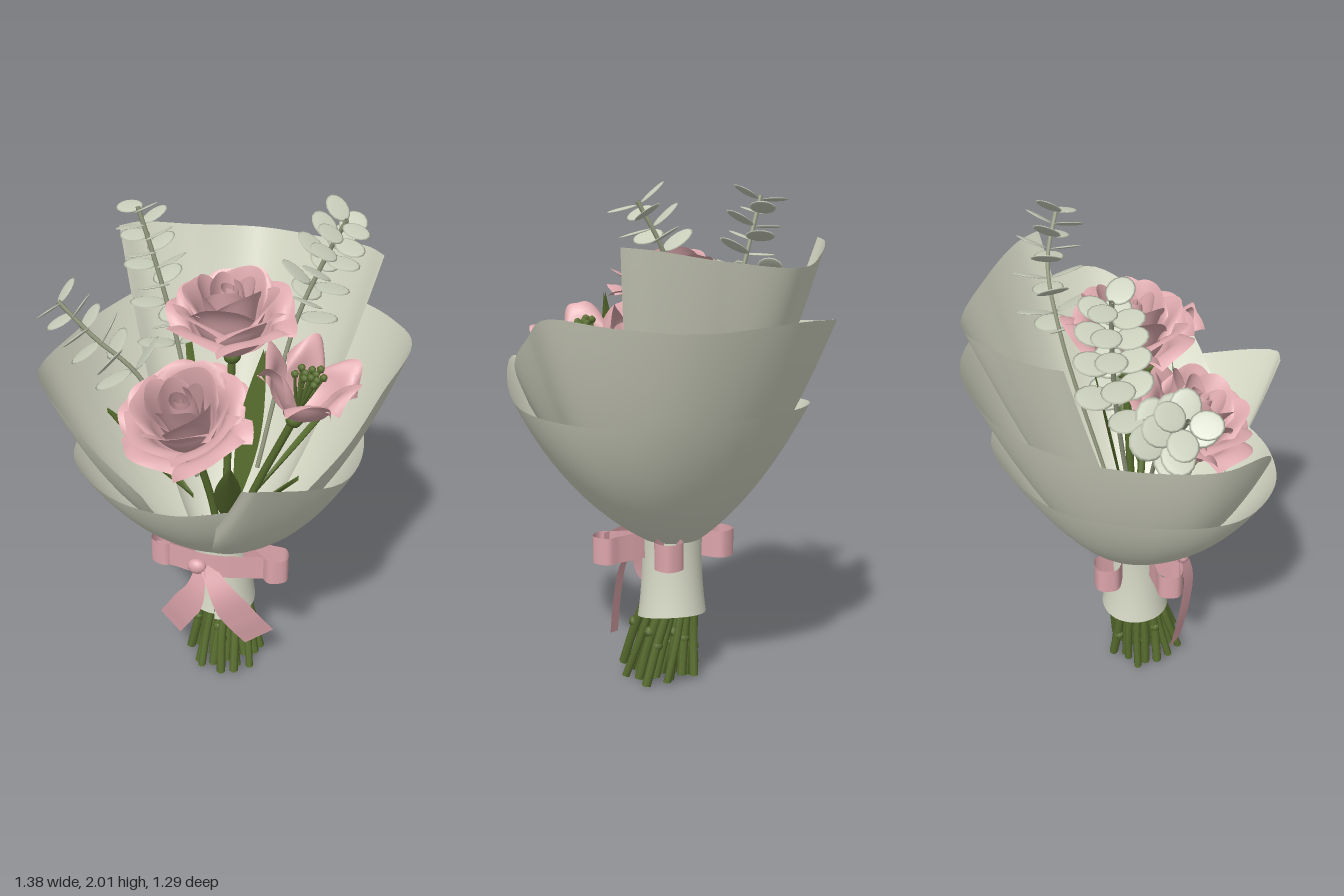
import * as THREE from 'three';
import { ParametricGeometry } from 'three/addons/geometries/ParametricGeometry.js';

const mat = (name, color) => {
  const m = new THREE.MeshStandardMaterial({ color, side: THREE.DoubleSide });
  m.name = name;
  return m;
};
const V = (x, y, z) => new THREE.Vector3(x, y, z);
const UP = V(0, 1, 0);
const RAD = Math.PI / 180;

export function createModel() {
  const paper = mat('paper', 0xd8dac7), ribbon = mat('ribbon pink', 0xdca5ab);
  const petalPink = mat('petal pink', 0xdfabaf), green = mat('stem green', 0x586d2f);
  const silver = mat('silver leaf', 0xcacfbc), twig = mat('twig', 0x969c82);
  const root = new THREE.Group();
  root.name = 'bouquet';

  const add = (geo, m, name, parent = root) => {
    const mesh = new THREE.Mesh(geo, m);
    mesh.name = name;
    parent.add(mesh);
    return mesh;
  };
  const group = (name, parent = root) => {
    const g = new THREE.Group();
    g.name = name;
    parent.add(g);
    return g;
  };
  const surface = (fn, nu, nv) => new ParametricGeometry(fn, nu, nv);
  const tube = (pts, r, m, name, parent, seg = 12) =>
    add(new THREE.TubeGeometry(new THREE.CatmullRomCurve3(pts), seg, r, 7), m, name, parent);

  // Wrapping sheet: each key is [rim x, rim y, rim z, azimuth at the neck]
  const sheet = (name, keys, k, ctrlY, baseR) => {
    const rim = new THREE.CatmullRomCurve3(keys.map(q => V(q[0], q[1], q[2])));
    const fn = (u, v, target) => {
      const p = rim.getPoint(u), f = u * (keys.length - 1);
      const i = Math.min(Math.floor(f), keys.length - 2);
      const az = THREE.MathUtils.lerp(keys[i][3], keys[i + 1][3], f - i) * RAD;
      const sx = Math.sin(az), sz = Math.cos(az), kk = k * (1 + 0.35 * Math.min(0, p.z));
      const a = (1 - v) ** 2, b = 2 * v * (1 - v), c = v * v;
      target.set(
        a * sx * baseR + b * (p.x * kk + sx * 0.11) + c * p.x,
        a * 0.61 + b * ctrlY + c * p.y,
        a * sz * baseR + b * (p.z * kk + sz * 0.11) + c * p.z);
    };
    add(surface(fn, 72, 20), paper, name);
  };
  sheet('outerWrap', [
    [0.23, 1.3, 0.64, -70], [0.29, 1.31, 0.64, -40], [0.53, 1.18, 0.33, 45], [0.56, 1.15, 0, 90],
    [0.42, 1.16, -0.36, 130], [0, 1.19, -0.56, 180], [-0.4, 1.16, -0.37, 228],
    [-0.53, 1.12, 0, 270], [-0.51, 1.1, 0.3, 300], [-0.3, 1.08, 0.49, 330],
    [-0.05, 1.07, 0.53, 355], [0.15, 1.08, 0.47, 370], [0.3, 1.08, 0.4, 390]], 0.52, 0.78, 0.125);
  sheet('middleWrap', [
    [0.4, 1.15, 0.4, 30], [0.54, 1.33, 0.31, 50], [0.63, 1.46, 0.12, 75], [0.7, 1.55, -0.07, 95],
    [0.6, 1.53, -0.31, 115], [0.39, 1.51, -0.52, 140], [0, 1.53, -0.65, 180],
    [-0.36, 1.5, -0.53, 215], [-0.55, 1.46, -0.27, 245], [-0.63, 1.44, 0, 270],
    [-0.65, 1.44, 0.2, 285], [-0.6, 1.45, 0.35, 300], [-0.4, 1.25, 0.42, 315],
    [-0.2, 1.05, 0.42, 330]], 0.5, 0.82, 0.12);
  sheet('innerWrap', [
    [0.55, 1.8, -0.29, 72], [0.48, 1.79, -0.38, 105], [0.28, 1.75, -0.52, 150], [0, 1.72, -0.63, 180],
    [-0.26, 1.75, -0.52, 210], [-0.44, 1.79, -0.4, 255], [-0.5, 1.8, -0.32, 288]], 0.45, 0.9, 0.11);

  // Paper cuff round the stems, with a slanted lower edge in front
  add(surface((u, v, t) => {
    const a = u * Math.PI * 2, r = 0.14 - 0.05 * v + 0.035 * v * v;
    const low = 0.29 - 0.03 * Math.max(0, Math.sin(a * 0.5 + 1.2)) * Math.cos(a);
    t.set(Math.sin(a) * r, THREE.MathUtils.lerp(low, 0.63, v), Math.cos(a) * r);
  }, 40, 8), paper, 'paperCuff');

  // Cut stem ends fanning out below the cuff
  const stems = group('stemEnds');
  const N = 30;
  for (let i = 0; i < N; i++) {
    const a = i * 2.4, r = 0.165 * Math.sqrt((i + 0.5) / N), b = a + 0.35;
    const bottom = V(0.02 + Math.sin(a) * r, 0.012 + 0.012 * (i % 3), 0.045 + Math.cos(a) * r);
    const top = V(Math.sin(b) * r * 0.6, 0.36, Math.cos(b) * r * 0.6);
    const mid = bottom.clone().lerp(top, 0.5).add(V(0.008 * Math.sin(i * 5), 0, 0.008 * Math.cos(i * 3)));
    tube([bottom, mid, top], 0.016 + 0.003 * (i % 2), green, 'stemEnd', stems, 6);
    add(new THREE.CircleGeometry(0.017, 7).rotateX(Math.PI / 2), green, 'stemCut', stems).position.copy(bottom);
    if (i % 2) {
      const bud = add(new THREE.SphereGeometry(0.023, 7, 5), green, 'stemNode', stems);
      bud.position.copy(mid).add(V(0, (i % 5) * 0.02 - 0.05, 0));
    }
  }

  // Ribbon bow: two long front loops, two short back loops, a band, two tails and a knot
  const bow = group('bow');
  for (const [x, z, reach] of [[0.85, 0.4, 0.335], [-0.85, 0.42, 0.3], [0.76, -0.65, 0.25], [-0.71, -0.71, 0.25]]) {
    const d = V(x, 0, z).normalize(), n = V(-d.z, 0, d.x);
    const loop = new THREE.CatmullRomCurve3(
      [[0.1, 0], [reach - 0.1, 0.04], [reach - 0.045, 0.056], [reach, 0], [reach - 0.045, -0.056], [reach - 0.1, -0.04]].map(
        ([r, w]) => d.clone().multiplyScalar(r).addScaledVector(n, w)), true);
    add(surface((u, v, t) => {
      loop.getPoint(u, t);
      t.y = 0.53 + 0.11 * v;
    }, 40, 2), ribbon, 'bowLoop', bow);
  }
  add(surface((u, v, t) => {
    const x = -0.24 + 0.48 * u;
    t.set(x, 0.53 + 0.11 * v, 0.165 + 0.02 * Math.cos(x * 12));
  }, 20, 2), ribbon, 'bowBand', bow);
  for (const s of [-1, 1]) {
    const path = new THREE.CatmullRomCurve3([
      V(-0.03 + s * 0.01, 0.58, 0.19), V(s * 0.06, 0.46, 0.22), V(s * 0.13, 0.33, 0.19), V(s * 0.195, 0.21, 0.14)]);
    add(surface((u, v, t) => {
      path.getPoint(v, t);
      const w = (u - 0.5) * (0.05 + 0.075 * Math.min(1, v * 2));
      t.add(V(w * 0.85, w * s * 0.3, -w * s * 0.55));
    }, 3, 16), ribbon, 'bowTail', bow);
  }
  const knot = add(new THREE.SphereGeometry(0.04, 14, 10), ribbon, 'bowKnot', bow);
  knot.position.set(-0.06, 0.575, 0.19);
  knot.scale.set(1, 0.85, 0.7);

  // One cupped petal around a flower's axis, with a rolled lip
  const petal = (parent, a0, half, R, H, curl, tip, drop, phase) => add(surface((u, v, t) => {
    const s = u * 2 - 1, c = Math.max(0, (v - 0.65) / 0.35);
    const wave = 0.07 * R * Math.sin(s * 4 + phase) * v ** 3;
    const a = a0 + s * half * (1 - tip * v ** 5);
    const r = 0.02 + (R - 0.02) * (1 - (1 - v) ** 2.2) + curl * c * c + wave - 0.012 * s * v;
    const y = H * v ** 1.25 - curl * 0.55 * c ** 2.5 - H * drop * v * v * Math.abs(s) ** 2.5 + wave;
    t.set(Math.sin(a) * r, y, Math.cos(a) * r);
  }, 16, 14), petalPink, 'petal', parent);

  const flower = (name, base, axis) => {
    const g = group(name);
    g.position.copy(base);
    g.quaternion.setFromUnitVectors(UP, axis.normalize());
    tube([V(0, 0.3, 0), V(base.x * 0.3, 0.75, base.z * 0.3), base], 0.016, green, name + 'Stem', root);
    const calyx = add(new THREE.SphereGeometry(0.035, 10, 8), green, 'calyx', g);
    calyx.position.y = -0.015;
    return g;
  };
  // Roses: a spiral heart inside rings of [count, radius, height, curl]
  const rings = [[3, 0.075, 0.305, 0.008], [3, 0.108, 0.315, 0.02], [4, 0.135, 0.3, 0.04],
    [4, 0.155, 0.265, 0.06], [5, 0.17, 0.215, 0.075]];
  const rose = (name, base, axis, size) => {
    const g = flower(name, base, axis);
    g.scale.setScalar(size);
    add(surface((u, v, t) => {
      const a = u * Math.PI * 5, r = (0.008 + 0.05 * u) * (0.6 + 0.4 * Math.sin(v * Math.PI * 0.8));
      t.set(Math.sin(a) * r, 0.05 + v * (0.225 + 0.012 * Math.sin(a * 1.3)), Math.cos(a) * r);
    }, 70, 8), petalPink, 'spiralHeart', g);
    rings.forEach(([n, R, H, curl], k) => {
      for (let i = 0; i < n; i++)
        petal(g, (i / n) * Math.PI * 2 + k * 0.8, (Math.PI / n) * 1.3, R, H, curl, 0.2, 0.2, i * 2 + k);
    });
  };
  rose('upperRose', V(0.03, 1.46, -0.03), V(0, 1, 0.08), 1.0);
  rose('lowerRose', V(-0.08, 1.12, 0.13), V(-0.08, 1, 0.42), 1.05);

  // Open blossom with stamens
  const blossom = flower('openBlossom', V(0.31, 1.3, 0.11), V(0.3, 1, 0.1));
  for (let i = 0; i < 6; i++)
    petal(blossom, i * Math.PI / 3 + 0.3, 0.68, i % 2 ? 0.125 : 0.15, i % 2 ? 0.28 : 0.25, 0.05, 0.35, 0.35, i);
  for (let i = 0; i < 11; i++) {
    const a = i * 2.4, r = 0.015 + 0.005 * i;
    const end = V(Math.sin(a) * r, 0.2, Math.cos(a) * r);
    tube([V(0, 0.02, 0), end.clone().multiplyScalar(0.55), end], 0.006, green, 'stamen', blossom, 4);
    add(new THREE.SphereGeometry(0.015, 7, 5), green, 'anther', blossom).position.copy(end);
  }

  // Green blades: [from, to, half width, side direction]
  const blades = [
    [V(0.1, 0.9, 0.2), V(0.2, 1.6, 0.17), 0.045, V(1, 0, 0.2)],
    [V(0.05, 0.8, 0.15), V(0.13, 1.22, 0.4), 0.05, V(1, 0, -0.2)],
    [V(-0.1, 0.85, 0.08), V(-0.42, 1.25, 0.15), 0.06, V(0.2, 0, 1)],
    [V(0.15, 0.9, 0.05), V(0.5, 1.4, -0.08), 0.03, V(0.2, 0, 1)],
    [V(0.1, 0.85, 0.2), V(0.36, 1.15, 0.28), 0.05, V(-0.4, 0, 1)],
    [V(-0.1, 0.9, -0.05), V(-0.2, 1.6, -0.18), 0.02, V(1, 0, 0.3)]];
  for (const [p, q, w, side] of blades) {
    side.normalize();
    add(surface((u, v, t) => {
      const s = u * 2 - 1;
      t.lerpVectors(p, q, v).addScaledVector(side, s * (0.002 + w * Math.sin(Math.PI * Math.min(v, 0.995))));
      t.y -= 0.02 * (1 - s * s);
    }, 6, 12), green, 'bladeLeaf');
  }

  // Silver-leaved sprigs: crossed pairs of round leaves along a twig
  const sprig = (name, pts, count, size) => {
    const g = group(name), curve = new THREE.CatmullRomCurve3(pts);
    add(new THREE.TubeGeometry(curve, 20, 0.009, 6), twig, 'twig', g);
    for (let i = 0; i < count; i++) {
      const f = 0.36 + 0.62 * i / (count - 1), r = size * (1.1 - 0.4 * f);
      const node = group('leafPair', g);
      node.position.copy(curve.getPoint(f));
      node.quaternion.setFromUnitVectors(UP, curve.getTangent(f));
      node.rotateY(i * 1.45 + 0.3);
      for (const s of [-1, 1]) {
        const leaf = add(new THREE.SphereGeometry(r, 14, 6), silver, 'roundLeaf', node);
        leaf.scale.set(1, 0.07, 0.88);
        leaf.position.set(s * r * 1.05, r * 0.25, 0);
        leaf.rotation.z = s * 0.25;
      }
    }
  };
  sprig('backRightSprig', [V(-0.1, 0.9, -0.03), V(-0.2, 1.4, -0.1), V(-0.29, 1.73, -0.13), V(-0.36, 1.96, -0.14)], 9, 0.08);
  sprig('backLeftSprig', [V(0.12, 0.9, -0.1), V(0.23, 1.5, -0.25), V(0.33, 1.77, -0.28), V(0.41, 1.95, -0.23)], 9, 0.08);
  sprig('sideSprig', [V(-0.1, 0.9, 0.02), V(-0.33, 1.35, 0.04), V(-0.49, 1.5, 0.06), V(-0.62, 1.64, 0.07)], 6, 0.085);
  return root;
}
